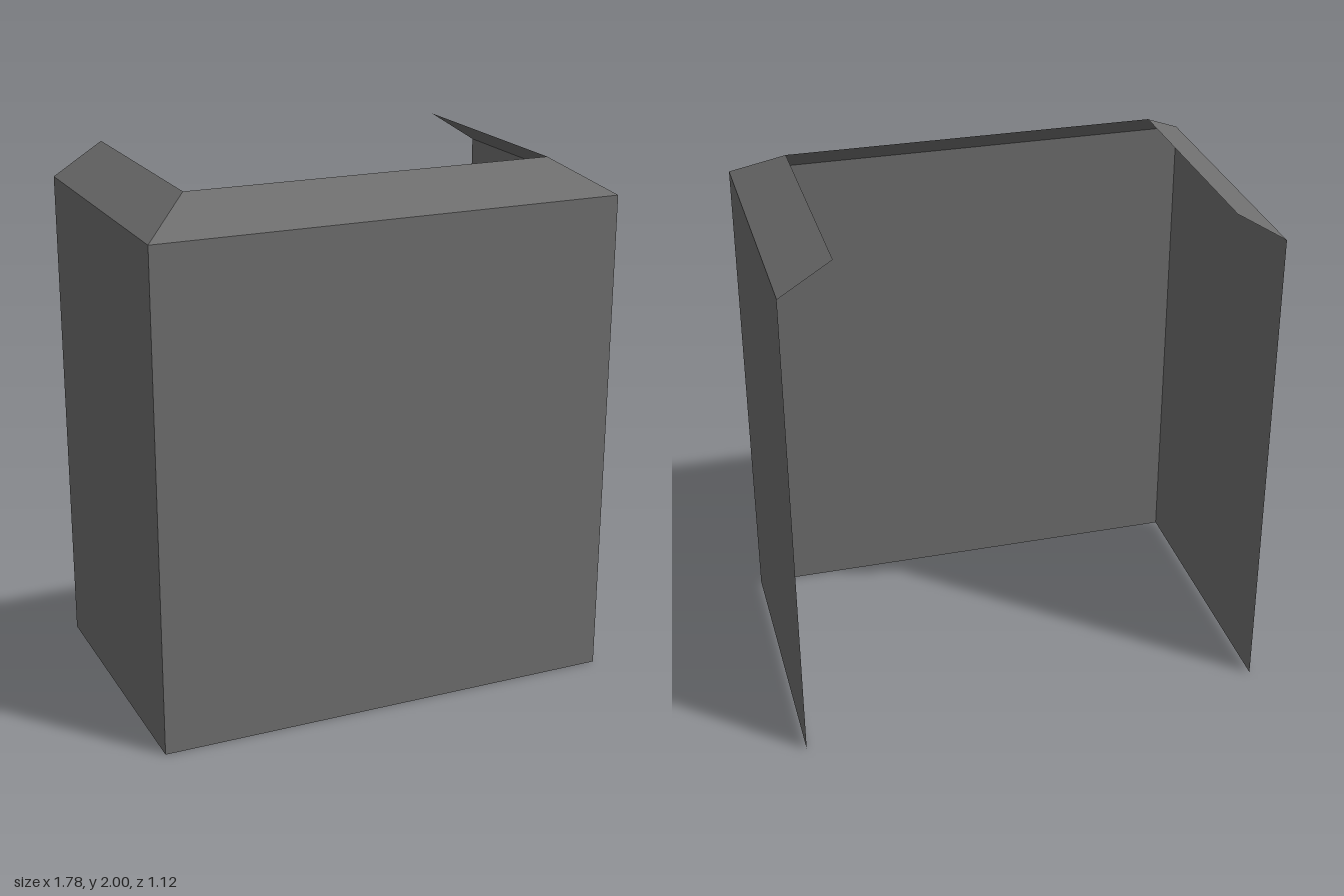
import * as THREE from 'three';

const HALF_W = 0.89, HALF_D = 0.56; // outer footprint
const WALL_H = 1.88, TOP = 2.0;     // wall height and overall height
const LIP = 0.19;                   // how far the lip leans inwards

// Flat four-cornered sheet; corners run anticlockwise seen from outside
function sheet(name, corners, material) {
  const geometry = new THREE.BufferGeometry();
  geometry.setAttribute('position', new THREE.Float32BufferAttribute(corners.flat(), 3));
  geometry.setIndex([0, 1, 2, 0, 2, 3]);
  geometry.computeVertexNormals();
  const mesh = new THREE.Mesh(geometry, material);
  mesh.name = name;
  return mesh;
}

export function createModel() {
  const group = new THREE.Group();
  group.name = 'openSurround';
  const grey = new THREE.MeshStandardMaterial({ color: 0x6e6e6e, side: THREE.DoubleSide });
  grey.name = 'dark grey';

  // Plan of the open-backed U: outer edge and the inner edge of the mitred lip
  const inX = HALF_W - LIP, inZ = HALF_D - LIP;
  const outer = [[-HALF_W, -HALF_D], [-HALF_W, HALF_D], [HALF_W, HALF_D], [HALF_W, -HALF_D]];
  const inner = [[-inX, -HALF_D], [-inX, inZ], [inX, inZ], [inX, -HALF_D]];
  const at = ([x, z], y) => [x, y, z];

  // Each side has an upright wall and a sloping lip above it
  ['right', 'front', 'left'].forEach((side, i) => {
    const a = outer[i], b = outer[i + 1];
    group.add(sheet(side + 'Wall',
      [at(a, 0), at(b, 0), at(b, WALL_H), at(a, WALL_H)], grey));
    group.add(sheet(side + 'Lip',
      [at(a, WALL_H), at(b, WALL_H), at(inner[i + 1], TOP), at(inner[i], TOP)], grey));
  });
  return group;
}
